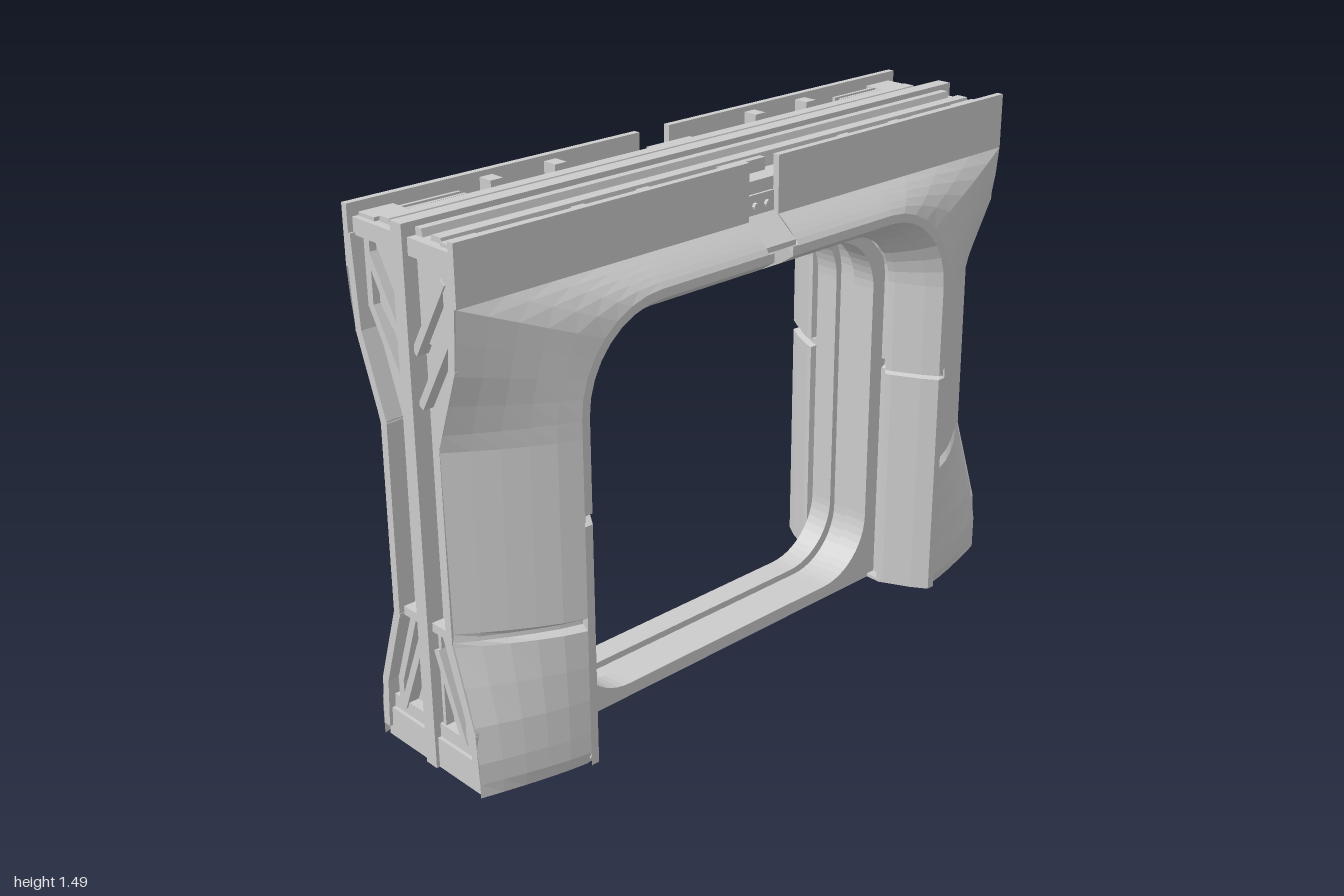
import * as THREE from 'three';

const grey = new THREE.MeshStandardMaterial({ color: 0xcccccc, flatShading: true, side: THREE.DoubleSide });

function add(parent, geometry, name) {
  const mesh = new THREE.Mesh(geometry, grey);
  mesh.name = name;
  parent.add(mesh);
  return mesh;
}

function box(parent, name, x0, x1, y0, y1, z0, z1) {
  const g = new THREE.BoxGeometry(Math.abs(x1 - x0), Math.abs(y1 - y0), Math.abs(z1 - z0));
  g.translate((x0 + x1) / 2, (y0 + y1) / 2, (z0 + z1) / 2);
  return add(parent, g, name);
}

// Prism with a (z, y) outline, running along x
function prism(parent, name, outline, x0, x1) {
  const shape = new THREE.Shape(outline.map(([z, y]) => new THREE.Vector2(-z, y)));
  const g = new THREE.ExtrudeGeometry(shape, { depth: x1 - x0, bevelEnabled: false });
  g.rotateY(Math.PI / 2).translate(x0, 0, 0);
  return add(parent, g, name);
}

// Surface through rows of points, mirrored by sx and sz
function loft(rows, sx, sz) {
  const n = rows[0].length, index = [];
  const pos = rows.flat().flatMap(([x, y, z]) => [x * sx, y, z * sz]);
  for (let i = 0; i < rows.length - 1; i++) for (let j = 0; j < n - 1; j++) {
    const a = i * n + j, b = a + 1, c = a + n, d = c + 1;
    if (sx * sz > 0) index.push(a, b, d, a, d, c);
    else index.push(a, d, b, a, c, d);
  }
  const g = new THREE.BufferGeometry();
  g.setAttribute('position', new THREE.Float32BufferAttribute(pos, 3));
  g.setIndex(index);
  g.computeVertexNormals();
  return g;
}

const mirrored = (half) => [...half, ...half.map(([z, y]) => [-z, y]).reverse()];

// Half depth of the wall at its ends, by height
const endProfile = [[0.21, 0], [0.21, 0.1], [0.2, 0.18], [0.125, 0.4], [0.12, 0.44],
  [0.12, 0.95], [0.2, 1.17], [0.22, 1.3], [0.22, 1.33]];
function endDepth(y) {
  for (let i = 1; i < endProfile.length; i++) {
    const [z0, y0] = endProfile[i - 1], [z1, y1] = endProfile[i];
    if (y <= y1) return z0 + (z1 - z0) * (y - y0) / (y1 - y0);
  }
  return 0.22;
}

// Half arch around the opening, at an offset from its edge
const W = 0.58, TOP = 1.14, R = 0.15, ARC = 8;
function archPoint(offset, k) {
  const a = (k / ARC) * Math.PI / 2, r = R + offset;
  return [W - R + r * Math.cos(a), TOP - R + r * Math.sin(a)];
}

// Faceted skin from the arch rim out to the wall end and the top plate
function skinRows() {
  const rows = [], steps = 5;
  const row = (p, q, rim) => {
    const zq = q[1] >= 1.329 ? 0.22 : endDepth(q[1]), line = [];
    for (let j = 0; j <= steps; j++) {
      const s = j / steps;
      line.push([p[0] + (q[0] - p[0]) * s, p[1] + (q[1] - p[1]) * s, zq + (rim - zq) * (1 - s ** 1.25)]);
    }
    rows.push(line);
  };
  for (const y of [0, 0.04, 0.1, 0.2, 0.3, 0.405, 0.418, 0.43, 0.442, 0.6, 0.8, 0.94]) {
    const seam = y > 0.41 && y < 0.435;
    row([0.7, y], [1, y], y === 0 ? 0.28 : seam ? 0.275 : 0.295);
  }
  for (let k = 0; k <= ARC; k++) {
    const t = k / ARC;
    const q = t <= 0.5 ? [1, 0.99 + 0.34 * t * 2] : [1 - (t - 0.5) * 2 * 0.57, 1.33];
    row(archPoint(0.12, k), q, 0.295);
  }
  for (const x of [0.25, 0.055]) row([x, TOP + 0.12], [x, 1.33], 0.295);
  return rows;
}

// Stepped reveal swept around the arch, with notched seams
const reveal = [[0.05, 0.1], [0.05, 0.145], [0.02, 0.15], [0.025, 0.17], [0.065, 0.25], [0.095, 0.295], [0.12, 0.295]];
function revealRows() {
  const rows = [];
  const row = (place, dent) => rows.push(reveal.map(([o, z]) => {
    const [x, y] = place(o + (o < 0.11 ? dent : 0));
    return [x, y, z - dent * 0.7];
  }));
  for (const [y, dent] of [[0, 0], [0.7, 0], [0.705, 0.015], [0.725, 0.015], [0.73, 0]]) row((o) => [W + o, y], dent);
  for (let k = 0; k <= ARC; k++) row((o) => archPoint(o, k), 0);
  for (const [x, dent] of [[0.035, 0], [0.03, 0.03], [0, 0.03]]) row((o) => [x, TOP + o], dent);
  return rows;
}

// Ring around the opening; inset widens the hole
function frameRing(inset, depth) {
  const shape = new THREE.Shape([[-0.65, 0], [0.65, 0], [0.65, 1.02], [0.48, 1.21], [-0.48, 1.21], [-0.65, 1.02]]
    .map((p) => new THREE.Vector2(...p)));
  const w = W + inset, b = 0.04 - inset, t = TOP + inset, r = 0.18;
  const hole = new THREE.Path();
  hole.moveTo(w, b + r).lineTo(w, t - r);
  hole.absarc(w - r, t - r, r, 0, Math.PI / 2);
  hole.absarc(-w + r, t - r, r, Math.PI / 2, Math.PI);
  hole.absarc(-w + r, b + r, r, Math.PI, Math.PI * 1.5);
  hole.absarc(w - r, b + r, r, Math.PI * 1.5, Math.PI * 2);
  shape.holes.push(hole);
  return new THREE.ExtrudeGeometry(shape, { depth, bevelEnabled: false, curveSegments: 6 });
}

// Straight strut on a wall end between two (z, y) points
function strut(parent, name, [z0, y0], [z1, y1], width, x0, x1) {
  const g = new THREE.BoxGeometry(x1 - x0, Math.hypot(z1 - z0, y1 - y0) + width * 0.5, width);
  g.rotateX(Math.atan2(z1 - z0, y1 - y0));
  g.translate((x0 + x1) / 2, (y0 + y1) / 2, (z0 + z1) / 2);
  return add(parent, g, name);
}

function buildEnd() {
  const end = new THREE.Group();
  end.name = 'wallEnd';
  const inner = endProfile.map(([z, y]) => [z - 0.01, y]);
  prism(end, 'endPanel', mirrored([...inner, [0.2, 1.43]]), 0.9, 0.95);
  box(end, 'endRib', 0.93, 1, 0, 1.49, -0.022, 0.022);
  box(end, 'endFoot', 0.93, 0.99, 0, 0.09, -0.2, 0.2);
  box(end, 'footRail', 0.93, 0.98, 0.09, 0.13, -0.2, 0.2);
  box(end, 'topRail', 0.93, 0.985, 1.41, 1.455, -0.215, 0.215);
  box(end, 'waistRail', 0.93, 0.985, 0.405, 0.43, -0.12, 0.12);
  for (const s of [1, -1]) {
    const path = (name, pts, width, x1) => {
      for (let i = 1; i < pts.length; i++) {
        strut(end, name, [pts[i - 1][0] * s, pts[i - 1][1]], [pts[i][0] * s, pts[i][1]], width, 0.93, x1);
      }
    };
    path('edgeFlange', [[0.197, 0.04], [0.188, 0.18], [0.112, 0.41], [0.108, 0.95], [0.188, 1.17], [0.205, 1.41]], 0.025, 1);
    path('upperBrace', [[0.03, 1.03], [0.155, 1.24], [0.155, 1.41]], 0.022, 0.98);
    path('upperDiagonal', [[0.025, 1.17], [0.145, 1.37]], 0.022, 0.985);
    path('lowerBrace', [[0.07, 0.4], [0.145, 0.19], [0.145, 0.1]], 0.022, 0.98);
    path('lowerDiagonal', [[0.035, 0.35], [0.13, 0.12]], 0.022, 0.985);
    path('innerPost', [[0.036, 0.1], [0.036, 0.4]], 0.012, 0.975);
  }
  return end;
}

export function createModel() {
  const model = new THREE.Group();
  model.name = 'doorwayWall';

  // Skin and reveal, four mirrored quarters
  const skin = skinRows(), jamb = revealRows();
  for (const sx of [1, -1]) for (const sz of [1, -1]) {
    add(model, loft(skin, sx, sz), 'wallSkin');
    add(model, loft(jamb, sx, sz), 'archReveal');
    box(model, 'topPlate', sx * 0.055, sx, 1.33, 1.49, sz * 0.2, sz * 0.22);
    // Fittings in the top channel
    for (const x of [0.37, 0.58]) box(model, 'channelRib', sx * (x - 0.02), sx * (x + 0.02), 1.42, 1.475, sz * 0.155, sz * 0.2);
    for (const z of [0.135, 0.16]) box(model, 'channelClamp', sx * 0.69, sx * 0.88, 1.42, 1.465, sz * z, sz * (z + 0.01));
    box(model, 'clampHead', sx * 0.87, sx * 0.97, 1.42, 1.465, sz * 0.13, sz * 0.195);
  }

  // Inner frame with sill and a central groove
  for (const z of [0.035, -0.11]) add(model, frameRing(0, 0.075).translate(0, 0, z), 'innerFrame');
  add(model, frameRing(0.02, 0.07).translate(0, 0, -0.035), 'frameGroove');

  // Ridged beam along the top
  prism(model, 'topBeam', mirrored([[0.1, 1.19], [0.2, 1.31], [0.2, 1.43], [0.125, 1.43], [0.12, 1.47], [0.085, 1.47],
    [0.08, 1.455], [0.05, 1.455], [0.045, 1.475], [0.022, 1.475], [0.022, 1.49]]), -0.96, 0.96);

  // Keystone bracket with two bolts, on both faces
  for (const s of [1, -1]) {
    prism(model, 'keystone', [[0.1, 1.24], [0.285, 1.26], [0.285, 1.275], [0.205, 1.34], [0.1, 1.34]]
      .map(([z, y]) => [z * s, y]), -0.055, 0.055);
    box(model, 'bracket', -0.05, 0.05, 1.34, 1.395, s * 0.19, s * 0.208);
    for (const x of [-0.022, 0.022]) {
      const bolt = new THREE.CylinderGeometry(0.01, 0.01, 0.012, 8).rotateX(Math.PI / 2);
      add(model, bolt.translate(x, 1.365, s * 0.212), 'bolt');
    }
    box(model, 'beamClip', -0.08, 0.08, 1.42, 1.465, s * 0.125, s * 0.145);
  }

  // Pillar soles and wall ends
  for (const s of [1, -1]) {
    const half = [[0.98, 0.2], [0.7, 0.278], [0.675, 0.278], [0.6, 0.16], [0.6, 0.1]];
    const outline = [...half, ...half.map(([x, z]) => [x, -z]).reverse()].map(([x, z]) => new THREE.Vector2(x * s, z));
    const sole = new THREE.ExtrudeGeometry(new THREE.Shape(outline), { depth: 0.01, bevelEnabled: false });
    add(model, sole.rotateX(-Math.PI / 2), 'pillarSole');
    const end = buildEnd();
    if (s < 0) end.rotation.y = Math.PI;
    model.add(end);
  }
  return model;
}
